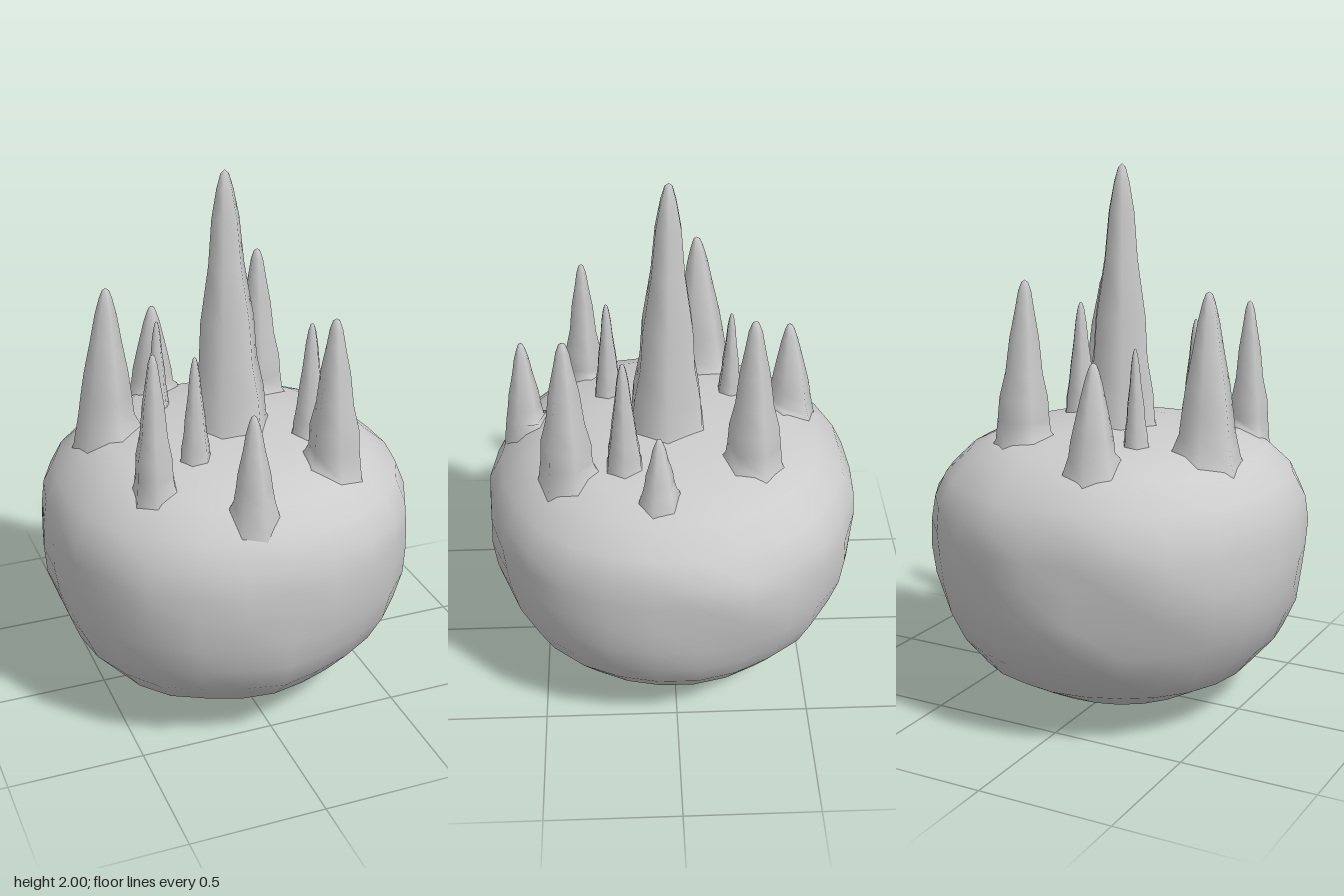
import * as THREE from 'three';
import { mergeVertices } from 'three/addons/utils/BufferGeometryUtils.js';

// body profile: [radius, y] from the underside to the crown
const PROFILE = [
  [0, 0.003], [0.2, 0.02], [0.36, 0.08], [0.515, 0.17], [0.6, 0.275], [0.65, 0.38], [0.678, 0.49],
  [0.69, 0.6], [0.692, 0.7], [0.68, 0.79], [0.635, 0.88], [0.545, 0.965], [0.44, 1.015],
  [0.26, 1.04], [0.12, 1.05], [0, 1.055],
];

// bulges and dents of the body: [x, y, z, reach, amount]
const BUMPS = [
  [0.66, 0.72, -0.26, 0.18, 0.015], [-0.46, 0.68, -0.5, 0.2, 0.015], [-0.05, 0.38, -0.66, 0.15, 0.025],
  [-0.38, 0.6, 0.6, 0.2, 0.015], [-0.46, 0.25, 0.4, 0.25, 0.03], [0.28, 0.15, 0.42, 0.18, -0.015],
  [0.48, 0.3, -0.42, 0.14, -0.01], [0.0, 0.26, 0.6, 0.16, 0.025],
];

// spikes: [tip x, tip z, tip y, radius, base x, base z]
const SPIKES = [
  [0, 0.01, 2.0, 0.138, 0.015, 0.02],
  [-0.13, -0.44, 1.36, 0.088, -0.13, -0.455],
  [0.24, -0.275, 1.6, 0.1, 0.25, -0.285],
  [-0.18, -0.23, 1.38, 0.045, -0.185, -0.23],
  [-0.405, -0.11, 1.58, 0.11, -0.415, -0.13],
  [-0.375, 0.325, 1.49, 0.075, -0.38, 0.33],
  [-0.195, 0.235, 1.42, 0.052, -0.195, 0.235],
  [-0.1, 0.55, 1.32, 0.075, -0.095, 0.55],
  [0.27, 0.38, 1.55, 0.1, 0.275, 0.385],
  [0.27, 0.18, 1.46, 0.065, 0.27, 0.18],
  [0.42, 0.06, 1.25, 0.064, 0.44, 0.06],
];

// spike silhouette: [radius factor, height fraction]; the rings at or below 0 follow the crown
const SPIKE_PROFILE = [
  [1.3, -0.1], [1.07, 0], [0.97, 0.12], [0.86, 0.26], [0.72, 0.42], [0.52, 0.64],
  [0.36, 0.82], [0.23, 0.93], [0.12, 0.985], [0, 1],
];

function smoothWelded(geometry) {
  geometry.deleteAttribute('uv');
  geometry.deleteAttribute('normal');
  const welded = mergeVertices(geometry, 1e-4);
  welded.computeVertexNormals();
  return welded;
}

function lathe(points, sides) {
  return new THREE.LatheGeometry(points.map(([r, y]) => new THREE.Vector2(r, y)), sides);
}

// height of the crown over a point
function crownHeight(x, z) {
  const r = Math.hypot(x, z);
  for (let i = PROFILE.length - 1; i > 9; i--) {
    const [r0, y0] = PROFILE[i], [r1, y1] = PROFILE[i - 1];
    if (r <= r1) return y0 + (y1 - y0) * (r - r0) / (r1 - r0);
  }
  return 0.78;
}

// rounded body with uneven lumps on its sides and underside
function bodyGeometry() {
  const g = lathe(PROFILE, 26), p = g.attributes.position;
  const v = new THREE.Vector3(), c = new THREE.Vector3();
  for (let i = 0; i < p.count; i++) {
    v.fromBufferAttribute(p, i);
    const square = 0.02 * Math.sin(2 * Math.atan2(v.z, v.x)) ** 2;
    let lump = 0.006 * Math.cos(17 * v.x - 13 * v.y + 7 * v.z);
    for (const [x, y, z, reach, amount] of BUMPS) {
      lump += amount * Math.exp(-((v.distanceTo(c.set(x, y, z)) / reach) ** 2));
    }
    const k = 1 + square + lump / 0.69;
    p.setXYZ(i, v.x * k, v.y, v.z * k * 1.01);
  }
  return smoothWelded(g);
}

// six-sided spike that leans from its base to its tip; its foot spreads over the crown
function spikeGeometry([tx, tz, ty, radius, bx, bz], index) {
  const base = crownHeight(bx, bz), h = ty - base;
  const g = lathe(SPIKE_PROFILE, 6), p = g.attributes.position;
  g.rotateY(index * 0.7 + Math.PI / 6);
  for (let i = 0; i < p.count; i++) {
    const t = p.getY(i);
    const wobble = radius * (1 + 0.05 * Math.sin(t * 17 + index * 2));
    const x = bx + (tx - bx) * t + p.getX(i) * wobble;
    const z = bz + (tz - bz) * t + p.getZ(i) * wobble;
    const y = t > 0.001 ? base + t * h : crownHeight(x, z) + (t < -0.05 ? -0.03 : 0.015);
    p.setXYZ(i, x, y, z);
  }
  return smoothWelded(g);
}

export function createModel() {
  const model = new THREE.Group();
  const material = new THREE.MeshStandardMaterial({ color: 0xcccccc });

  const body = new THREE.Mesh(bodyGeometry(), material);
  body.name = 'body';
  model.add(body);

  const spikes = new THREE.Group();
  spikes.name = 'spikes';
  SPIKES.forEach((spec, i) => {
    const spike = new THREE.Mesh(spikeGeometry(spec, i), material);
    spike.name = i === 0 ? 'centreSpike' : `spike${i}`;
    spikes.add(spike);
  });
  model.add(spikes);
  return model;
}
